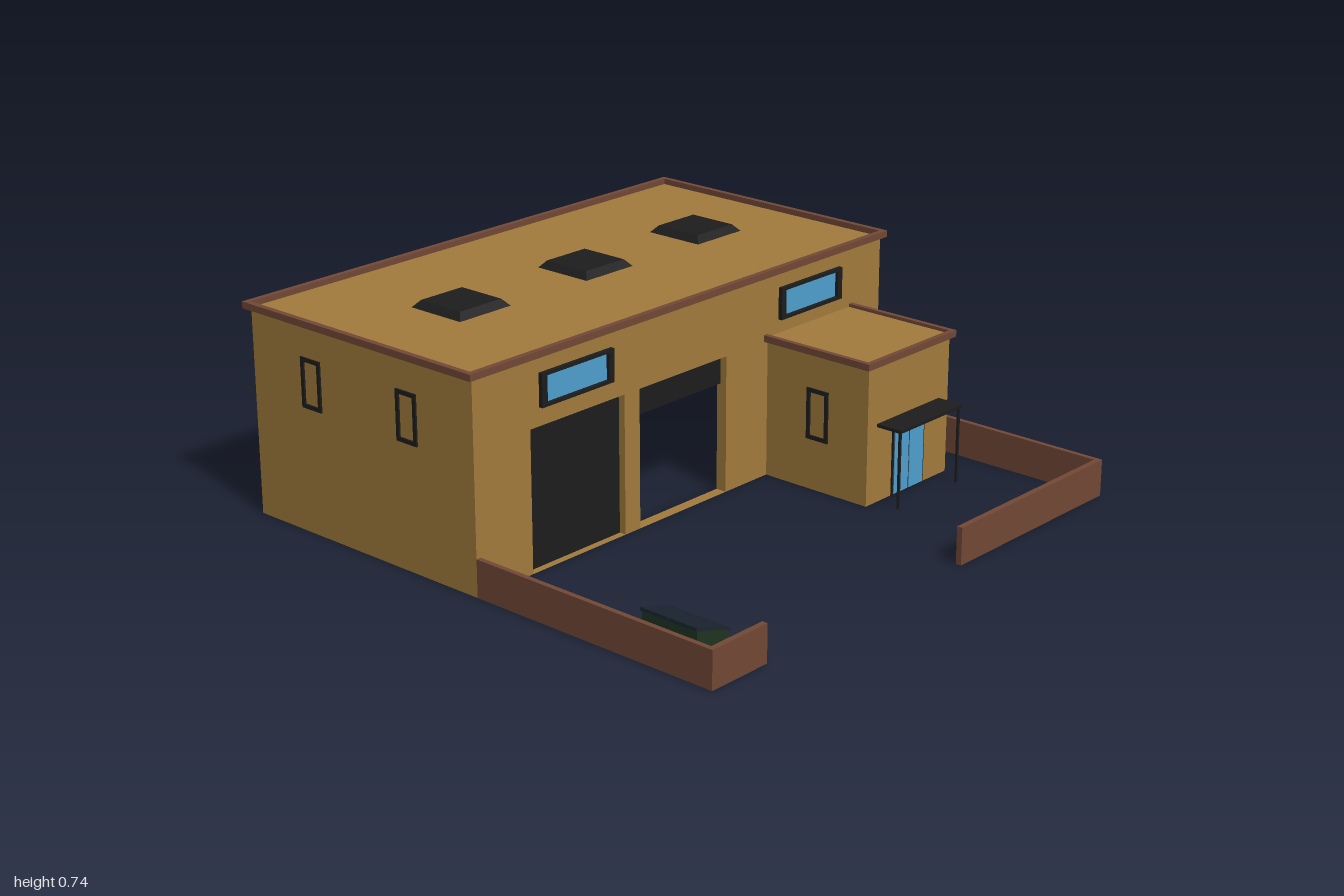
import * as THREE from 'three';

const mat = (color, side = THREE.FrontSide) => new THREE.MeshStandardMaterial({ color, side });
const M = {
  wall: mat(0xa27b3d), trim: mat(0x734836), black: mat(0x1d1d1d), glass: mat(0x4f9fce),
  grey: mat(0x808080), bin: mat(0x1f3322), lid: mat(0x1b2530),
};

export function createModel() {
  const root = new THREE.Group();

  const add = (name, geometry, material, parent = root) => {
    const mesh = new THREE.Mesh(geometry, material);
    mesh.name = name;
    parent.add(mesh);
    return mesh;
  };
  // Box given by its limits on each axis
  const box = (name, [x0, x1], [y0, y1], [z0, z1], material, parent) => {
    const m = add(name, new THREE.BoxGeometry(x1 - x0, y1 - y0, z1 - z0), material, parent);
    m.position.set((x0 + x1) / 2, (y0 + y1) / 2, (z0 + z1) / 2);
    return m;
  };
  const rect = (C, x0, x1, y0, y1) =>
    new C([[x0, y0], [x1, y0], [x1, y1], [x0, y1]].map(p => new THREE.Vector2(...p)));
  // Rectangle with rectangular holes, extruded along z
  const plate = (outer, holes, depth) => {
    const s = rect(THREE.Shape, ...outer);
    s.holes = holes.map(h => rect(THREE.Path, ...h));
    return new THREE.ExtrudeGeometry(s, { depth, bevelEnabled: false });
  };
  // Roof edging: a flat ring lying in the xz plane
  const edging = (name, x0, x1, z0, z1, w, y, h) => {
    const m = add(name, plate([x0, x1, -z1, -z0], [[x0 + w, x1 - w, -z1 + w, -z0 - w]], h), M.trim);
    m.rotation.x = -Math.PI / 2;
    m.position.y = y;
  };
  // Framed window whose outer face looks along +z before turning
  const windowUnit = (name, x, y, z, w, h, turn, bx = 0.023, by = 0.011) => {
    const g = new THREE.Group();
    g.name = name;
    const frame = add('windowFrame', plate([-w / 2, w / 2, -h / 2, h / 2],
      [[-w / 2 + bx, w / 2 - bx, -h / 2 + by, h / 2 - by]], 0.03), M.black, g);
    frame.position.z = -0.03;
    box('windowGlass', [-w / 2 + bx, w / 2 - bx], [-h / 2 + by, h / 2 - by], [-0.028, -0.012], M.glass, g);
    g.position.set(x, y, z);
    g.rotation.y = turn;
    root.add(g);
  };

  // Main hall: thin walls, open below, with two doorways in front
  const doors = [[-0.74, -0.32], [-0.25, 0.17]];
  const front = add('frontWall', plate([-0.98, 0.98, 0, 0.71],
    doors.map(([a, b]) => [a, b, 0.0005, 0.48]), 0.04), M.wall);
  front.position.z = 0;
  box('backWall', [-0.98, 0.98], [0, 0.71], [-0.97, -0.958], M.wall);
  for (const s of [-1, 1]) {
    const x = [s * 0.98, s * 0.968].sort((a, b) => a - b);
    box('sideWall', x, [0, 0.71], [-0.958, 0], M.wall);
  }
  box('roof', [-0.967, 0.967], [0.67, 0.712], [-0.957, 0.03], M.wall);
  box('innerBackPanel', [-0.966, 0.966], [0, 0.669], [-0.957, -0.953], M.grey);
  edging('roofEdging', -1, 1, -0.99, 0.055, 0.02, 0.707, 0.023);

  // Shutters: one closed, one rolled up
  box('closedShutter', doors[0], [0, 0.48], [0.004, 0.015], M.black);
  box('raisedShutter', doors[1], [0.38, 0.48], [0.004, 0.015], M.black);

  // Windows of the hall
  for (const x of [-0.54, 0.595]) windowUnit('frontWindow', x, 0.598, 0.055, 0.32, 0.112, 0);
  for (const x of [-0.53, -0.045, 0.605]) windowUnit('backWindow', x, 0.598, -0.988, 0.32, 0.112, Math.PI);
  for (const z of [-0.69, -0.25]) windowUnit('sideWindow', -0.986, 0.515, z, 0.09, 0.17, -Math.PI / 2, 0.014, 0.014);

  // Skylights: four-sided tapered boxes
  for (const x of [-0.532, 0.04, 0.592]) {
    const geo = new THREE.CylinderGeometry(0.09 * Math.SQRT2, 0.1125 * Math.SQRT2, 0.025, 4, 1);
    geo.rotateY(Math.PI / 4);
    const m = add('skylight', geo.toNonIndexed(), M.black);
    m.geometry.computeVertexNormals();
    m.position.set(x, 0.7235, -0.472);
  }

  // Entrance annex
  box('annexSideWall', [0.38, 0.39], [0, 0.49], [0.04, 0.46], M.wall);
  box('annexSideWall', [0.805, 0.815], [0, 0.49], [0.04, 0.46], M.wall);
  box('annexFrontWall', [0.38, 0.815], [0, 0.49], [0.46, 0.47], M.wall);
  box('annexRoof', [0.389, 0.806], [0.465, 0.492], [0.04, 0.461], M.wall);
  // Edging on the three free sides of the annex roof
  box('annexEdging', [0.36, 0.378], [0.482, 0.505], [0.04, 0.485], M.trim);
  box('annexEdging', [0.814, 0.832], [0.482, 0.505], [0.04, 0.485], M.trim);
  box('annexEdging', [0.378, 0.814], [0.482, 0.505], [0.467, 0.485], M.trim);
  box('annexRoofCover', [0.377, 0.815], [0.486, 0.494], [0.04, 0.468], M.wall);
  windowUnit('annexWindow', 0.374, 0.27, 0.26, 0.09, 0.18, -Math.PI / 2, 0.014, 0.014);

  // Glazed double door
  box('doorFrame', [0.512, 0.682], [0, 0.232], [0.455, 0.476], M.black);
  for (const [a, b] of [[0.519, 0.594], [0.6, 0.675]]) box('doorGlass', [a, b], [0.006, 0.225], [0.47, 0.479], M.glass);

  // Porch canopy on two thin posts
  box('canopy', [0.43, 0.765], [0.267, 0.278], [0.47, 0.568], M.black);
  for (const x of [0.437, 0.757]) box('canopyPost', [x - 0.004, x + 0.004], [0, 0.268], [0.556, 0.564], M.black);

  // Low yard wall with a gap for the driveway
  box('yardWall', [-0.98, -0.962], [0, 0.128], [0.04, 0.99], M.trim);
  box('yardWall', [0.962, 0.98], [0, 0.128], [0.04, 0.99], M.trim);
  box('yardWall', [-0.962, -0.74], [0, 0.128], [0.97, 0.99], M.trim);
  box('yardWall', [0.2, 0.962], [0, 0.128], [0.97, 0.99], M.trim);

  // Waste container with two sloping lids
  const prism = (name, pts, z0, z1, material) => {
    const s = new THREE.Shape(pts.map(p => new THREE.Vector2(...p)));
    const m = add(name, new THREE.ExtrudeGeometry(s, { depth: z1 - z0, bevelEnabled: false }), material);
    m.position.z = z0;
  };
  prism('containerBody', [[-0.94, 0], [-0.81, 0], [-0.803, 0.098], [-0.85, 0.118], [-0.94, 0.143]], 0.685, 0.897, M.bin);
  for (const [a, b] of [[0.682, 0.788], [0.792, 0.9]]) {
    prism('containerLid', [[-0.945, 0.144], [-0.85, 0.118], [-0.799, 0.098], [-0.799, 0.106], [-0.85, 0.128], [-0.945, 0.155]], a, b, M.lid);
  }
  return root;
}
